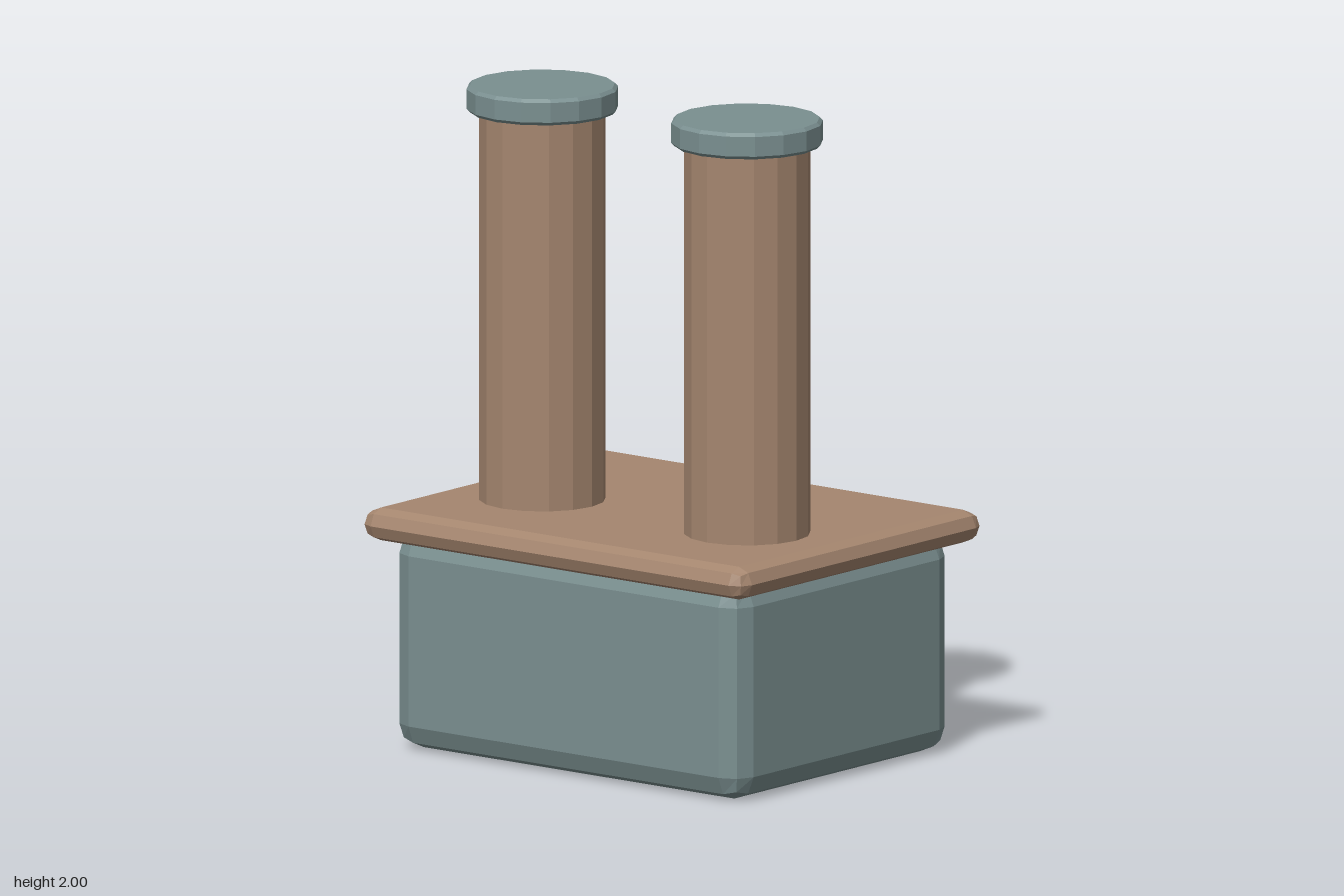
import * as THREE from 'three';
import { RoundedBoxGeometry } from 'three/addons/geometries/RoundedBoxGeometry.js';

export function createModel() {
  const group = new THREE.Group();
  const mat = (color) => new THREE.MeshStandardMaterial({ color, flatShading: true });
  const slate = mat(0x7a8f90), brick = mat(0xa5866f), glass = mat(0xb5a36a);

  const add = (name, geometry, material, x, y, z) => {
    const mesh = new THREE.Mesh(geometry, material);
    mesh.name = name;
    mesh.position.set(x, y, z);
    group.add(mesh);
  };

  // Main building and overhanging roof slab
  add('building', new RoundedBoxGeometry(1.34, 0.67, 1.034, 1, 0.075), slate, 0, 0.335, 0);
  add('roof', new RoundedBoxGeometry(1.474, 0.1, 1.166, 1, 0.05), brick, 0, 0.685, 0);

  // Cap profile with softly bevelled rims
  const capProfile = [
    [0, 0], [0.218, 0], [0.228, 0.01], [0.228, 0.07], [0.218, 0.08], [0, 0.08],
  ].map(([r, y]) => new THREE.Vector2(r, y));

  // Pair of chimneys with caps
  for (const [side, x] of [['left', 0.393], ['right', -0.393]]) {
    add(`${side}Chimney`, new THREE.CylinderGeometry(0.19, 0.19, 1.25, 16), brick, x, 1.325, 0.13);
    add(`${side}ChimneyCap`, new THREE.LatheGeometry(capProfile, 16), slate, x, 1.92, 0.13);
  }

  // Row of windows on the back wall
  for (let i = -1; i <= 1; i++) {
    add(`window${i + 2}`, new THREE.BoxGeometry(0.19, 0.16, 0.024), glass, i * 0.375, 0.43, -0.525);
  }
  return group;
}
